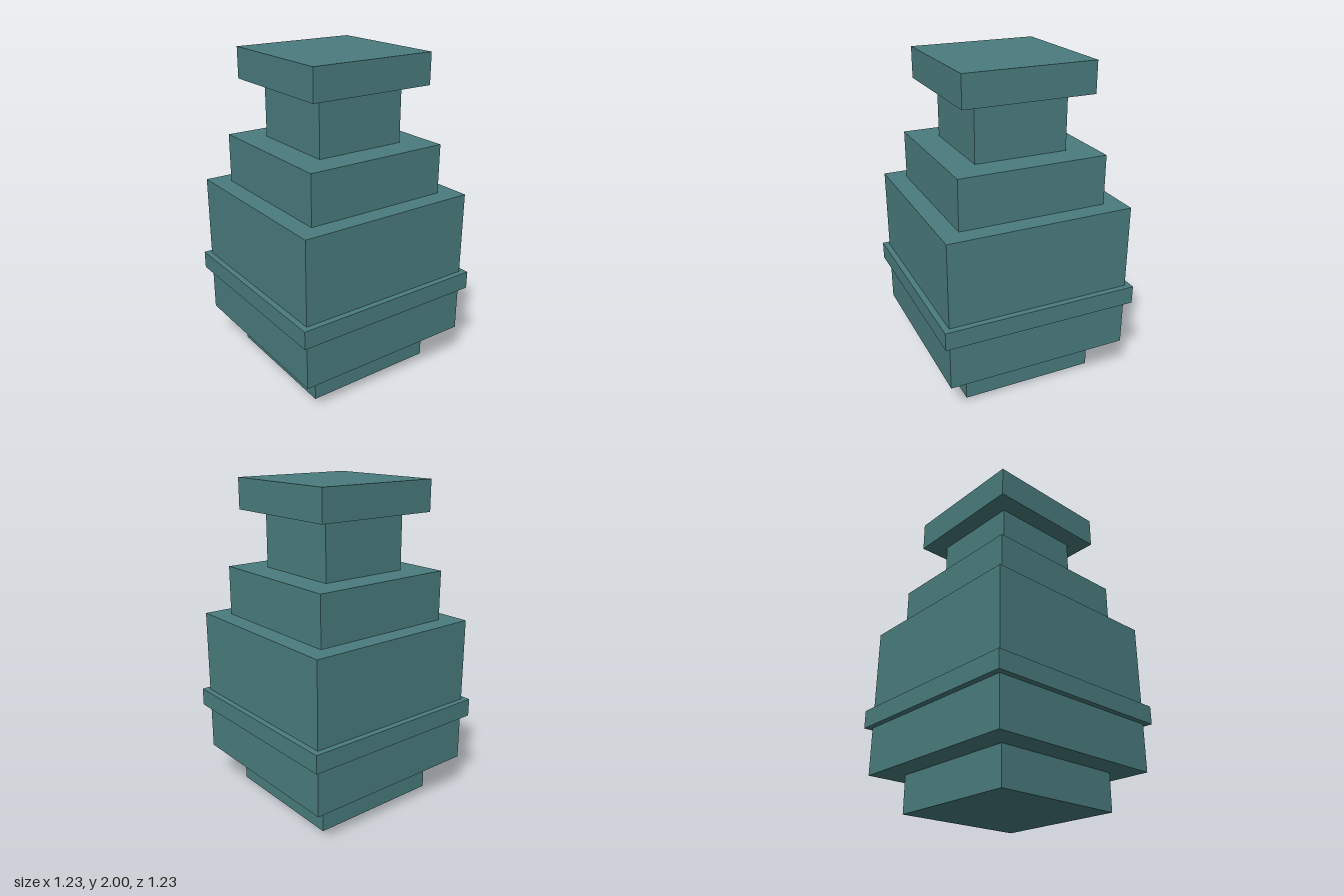
import * as THREE from 'three';

export function createModel() {
  const group = new THREE.Group();
  group.name = 'squareVase';

  const glaze = new THREE.MeshStandardMaterial({ color: 0x4a7c7e });
  glaze.name = 'tealGlaze';

  // Stacked square tiers: name, width, bottom y, top y
  const tiers = [
    ['foot', 0.845, 0, 0.23],
    ['body', 1.152, 0.23, 1.154],
    ['band', 1.225, 0.523, 0.635],
    ['shoulder', 0.92, 1.154, 1.46],
    ['neck', 0.577, 1.46, 1.81],
    ['lip', 0.807, 1.81, 2],
  ];

  for (const [name, width, bottom, top] of tiers) {
    const tier = new THREE.Mesh(new THREE.BoxGeometry(width, top - bottom, width), glaze);
    tier.name = name;
    tier.position.y = (bottom + top) / 2;
    group.add(tier);
  }

  return group;
}
